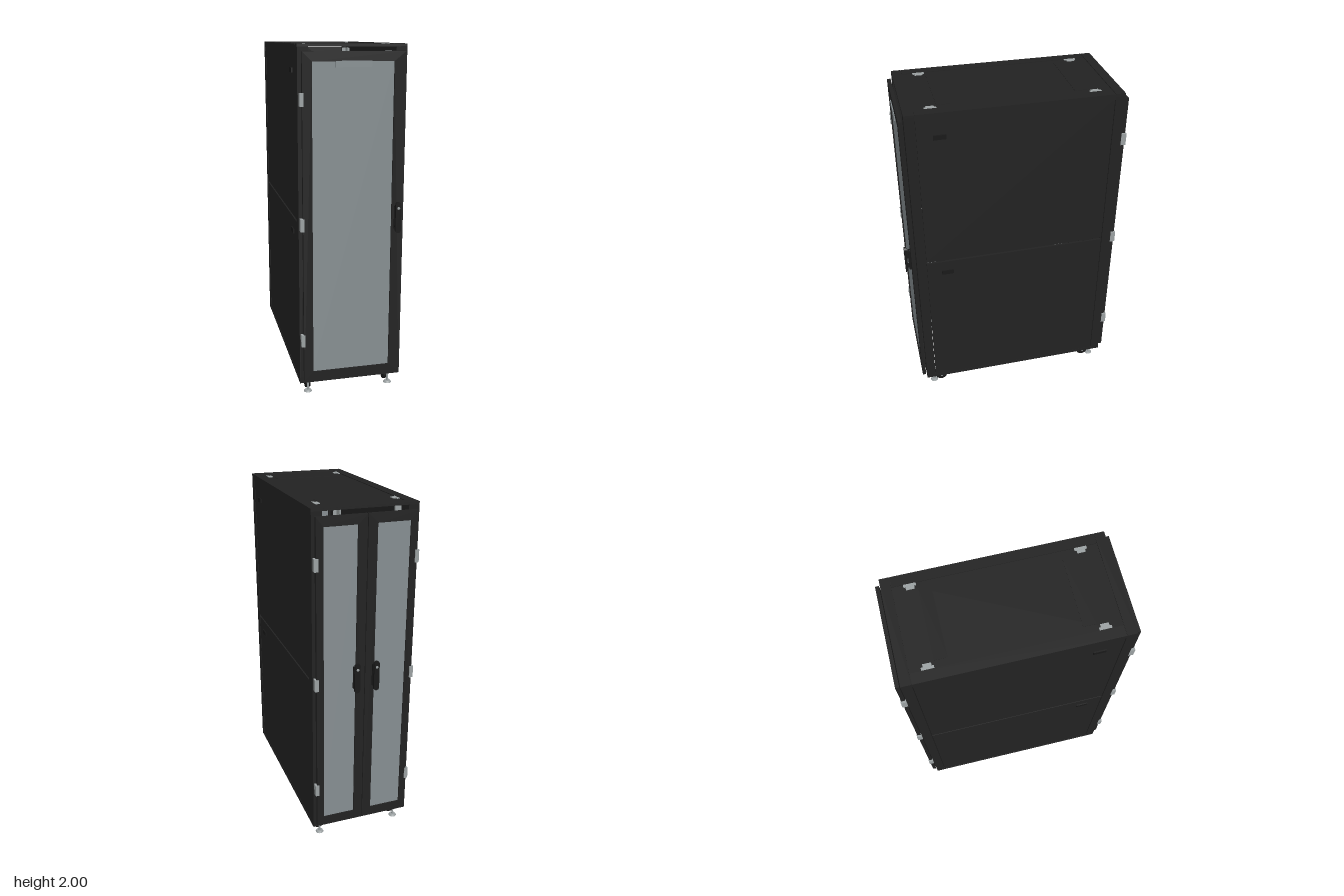
import * as THREE from 'three';

const mat = (name, color) => {
  const m = new THREE.MeshStandardMaterial({ color });
  m.name = name;
  return m;
};

export function createModel() {
  const black = mat('black steel', 0x222222);
  const dark = mat('dark rubber', 0x191919);
  const mesh = mat('grey door panel', 0x868e91);
  const silver = mat('zinc', 0x9ba1a2);

  const root = new THREE.Group();
  root.name = 'serverCabinet';

  // Box given by its minimum and maximum corners
  const box = (name, m, x0, x1, y0, y1, z0, z1, parent = root) => {
    const b = new THREE.Mesh(new THREE.BoxGeometry(x1 - x0, y1 - y0, z1 - z0), m);
    b.position.set((x0 + x1) / 2, (y0 + y1) / 2, (z0 + z1) / 2);
    b.name = name;
    parent.add(b);
    return b;
  };
  const cyl = (name, m, r0, r1, h, x, y, z, parent = root) => {
    const c = new THREE.Mesh(new THREE.CylinderGeometry(r0, r1, h, 20), m);
    c.position.set(x, y, z);
    c.name = name;
    parent.add(c);
    return c;
  };
  // Rectangular frame with one opening, extruded along z
  const frame = (name, x0, x1, y0, y1, hx0, hx1, hy0, hy1, depth, parent) => {
    const rect = (C, a, b, c, d) => {
      const s = new C();
      s.moveTo(a, c); s.lineTo(b, c); s.lineTo(b, d); s.lineTo(a, d); s.closePath();
      return s;
    };
    const s = rect(THREE.Shape, x0, x1, y0, y1);
    s.holes.push(rect(THREE.Path, hx0, hx1, hy0, hy1));
    const f = new THREE.Mesh(new THREE.ExtrudeGeometry(s, { depth, bevelEnabled: false }), black);
    f.name = name;
    parent.add(f);
    return f;
  };

  // Roof with raised end strips, side strips and cable covers
  box('roof', black, -0.3, 0.3, 1.985, 1.996, -0.6, 0.6);
  for (const s of [-1, 1]) {
    const z = s * 0.5725;
    box('roofEndStrip', black, -0.3, 0.3, 1.996, 2, z - 0.0275, z + 0.0275);
    box('roofSideStrip', black, s * 0.27 - 0.03, s * 0.27 + 0.03, 1.996, 2, -0.542, 0.542);
    box('cableCover', black, -0.2, 0.2, 1.996, 1.998, s * 0.38 - 0.035, s * 0.38 + 0.035);
    // Lower cross beams and sills; the floor stays open
    box('lowerCrossBeam', black, -0.3, 0.3, 0.08, 0.115, z - 0.0275, z + 0.0275);
    box('lowerSill', black, s * 0.275 - 0.025, s * 0.275 + 0.025, 0.08, 0.1, -0.545, 0.545);
    box('upperSill', black, s * 0.28 - 0.02, s * 0.28 + 0.02, 1.965, 1.985, -0.545, 0.545);
  }

  // Side panels, upper and lower, with a slit between
  for (const s of [-1, 1]) {
    for (const [y0, y1, latchY] of [[0.1, 1.034, 0.957], [1.046, 1.972, 1.86]]) {
      box('sidePanel', black, s * 0.291 - 0.007, s * 0.291 + 0.007, y0, y1, -0.542, 0.542);
      box('sideLatch', dark, s * 0.3015 - 0.0035, s * 0.3015 + 0.0035, latchY - 0.013, latchY + 0.013, 0.385, 0.455);
    }
  }

  // Each corner: post, mounting rail, roof bracket, caster, levelling foot
  for (const sx of [-1, 1]) for (const sz of [-1, 1]) {
    const g = new THREE.Group();
    g.name = 'corner';
    root.add(g);
    const at = (name, m, x, w, y0, y1, z, d) =>
      box(name, m, sx * x - w / 2, sx * x + w / 2, y0, y1, sz * z - d / 2, sz * z + d / 2, g);
    at('cornerPost', black, 0.27, 0.06, 0.08, 1.99, 0.5725, 0.055);
    at('mountingRail', silver, 0.245, 0.012, 0.1, 1.96, 0.455, 0.06);
    at('mountingRailFlange', silver, 0.23, 0.03, 0.1, 1.96, 0.482, 0.008);
    at('railBrace', black, 0.268, 0.04, 1.02, 1.06, 0.455, 0.05);
    at('roofBracket', silver, 0.232, 0.016, 1.994, 2, 0.452, 0.066);
    at('roofBracketTab', silver, 0.216, 0.018, 1.994, 1.999, 0.452, 0.045);

    at('casterPlate', silver, 0.24, 0.05, 0.072, 0.082, 0.5, 0.075);
    for (const o of [-0.019, 0.019]) {
      at('casterFork', dark, 0.24 + o, 0.005, 0.035, 0.075, 0.5, 0.04);
    }
    cyl('casterWheel', dark, 0.036, 0.036, 0.028, sx * 0.24, 0.038, sz * 0.5, g).rotation.z = Math.PI / 2;
    cyl('casterHub', silver, 0.008, 0.008, 0.046, sx * 0.24, 0.04, sz * 0.5, g).rotation.z = Math.PI / 2;
    cyl('footPad', silver, 0.018, 0.024, 0.01, sx * 0.245, 0.005, sz * 0.55, g);
    cyl('footRod', silver, 0.006, 0.006, 0.085, sx * 0.245, 0.048, sz * 0.55, g);
  }

  // Swing handle with rounded ends, facing +z
  const addHandle = (x, parent) => {
    const h = new THREE.Group();
    h.name = 'doorHandle';
    box('handleBase', dark, -0.016, 0.016, 0.99, 1.12, 0, 0.012, h);
    box('handleNeck', dark, -0.011, 0.011, 1.07, 1.115, 0.012, 0.022, h);
    box('handleFoot', dark, -0.009, 0.009, 1.0, 1.02, 0.012, 0.022, h);
    box('handleGrip', dark, -0.016, 0.016, 0.985, 1.13, 0.02, 0.034, h);
    for (const y of [0.985, 1.13]) {
      cyl('handleEnd', dark, 0.016, 0.016, 0.014, 0, y, 0.027, h).rotation.x = Math.PI / 2;
    }
    cyl('keyhole', silver, 0.008, 0.008, 0.003, 0, 1.112, 0.035, h).rotation.x = Math.PI / 2;
    h.position.set(x, 0, 0.023);
    parent.add(h);
  };
  // Three hinges on one edge
  const addHinges = (x, parent) => {
    for (const y of [0.355, 1.035, 1.715]) {
      box('hinge', silver, x - 0.011, x + 0.011, y - 0.035, y + 0.035, -0.004, 0.026, parent);
    }
  };

  // Front door
  const front = new THREE.Group();
  front.name = 'frontDoor';
  front.position.z = 0.607;
  frame('frontDoorFrame', -0.28, 0.288, 0.105, 1.962, -0.227, 0.222, 0.16, 1.91, 0.021, front);
  box('frontDoorPanel', mesh, -0.229, 0.224, 0.158, 1.912, 0.007, 0.015, front);
  box('namePlate', mesh, -0.1, 0.096, 1.88, 1.913, 0.015, 0.026, front);
  addHinges(-0.284, front);
  addHandle(0.252, front);
  root.add(front);

  // Pair of rear doors
  const rear = new THREE.Group();
  rear.name = 'rearDoors';
  rear.position.z = -0.607;
  rear.rotation.y = Math.PI;
  for (const s of [-1, 1]) {
    const span = (a, b) => (s > 0 ? [a, b] : [-b, -a]);
    frame('rearDoorFrame', ...span(0.002, 0.284), 0.105, 1.962, ...span(0.055, 0.243), 0.16, 1.91, 0.021, rear);
    box('rearDoorPanel', mesh, ...span(0.053, 0.245), 0.158, 1.912, 0.007, 0.015, rear);
    addHinges(s * 0.284, rear);
    addHandle(s * 0.057, rear);
  }
  root.add(rear);

  return root;
}
